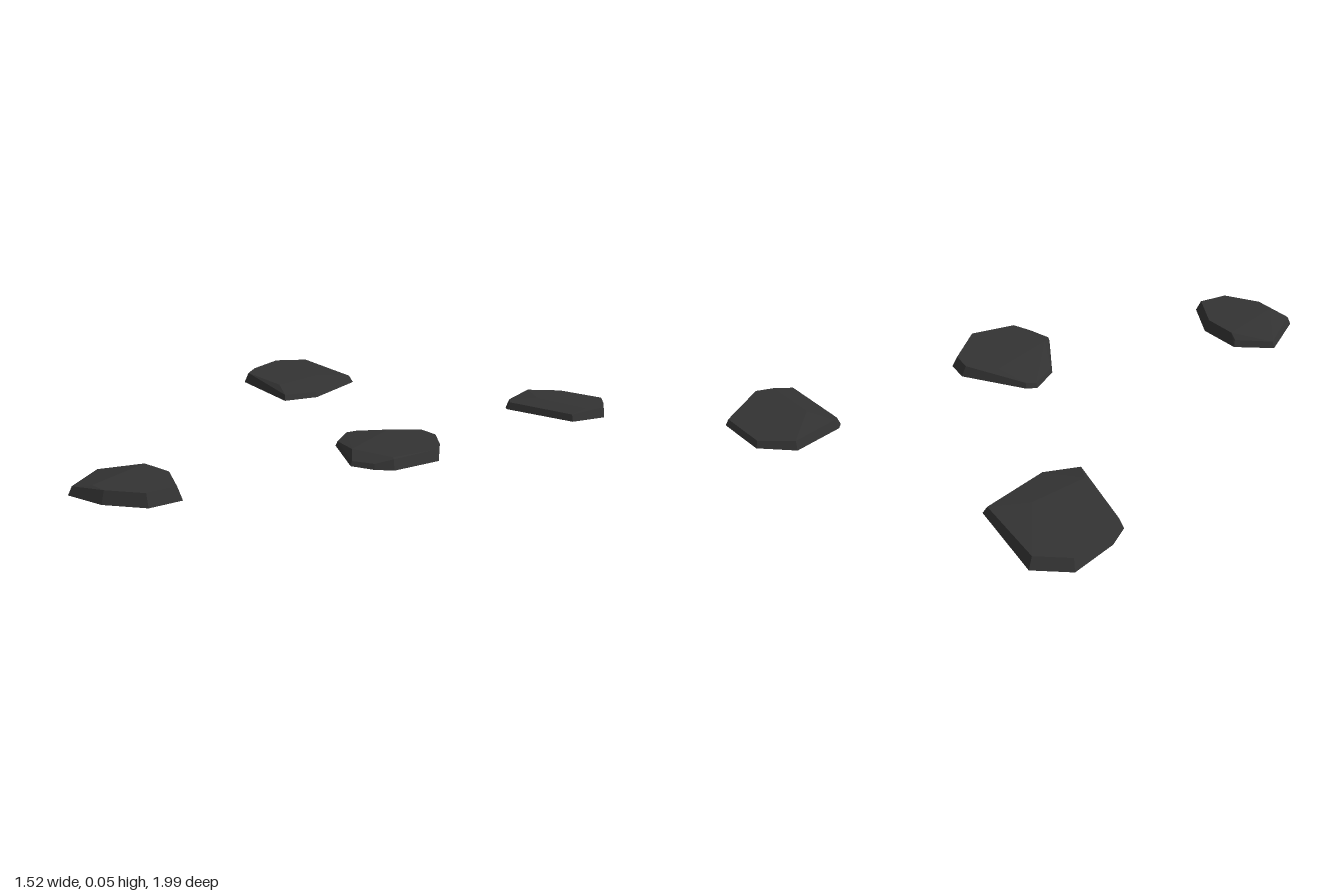
import * as THREE from 'three';
import { ConvexGeometry } from 'three/addons/geometries/ConvexGeometry.js';

// Each stone: outline of [x, z, rim height], and optional crest points [x, y, z]
const STONES = [
  {
    name: 'backRightStone',
    outline: [[-0.763, -0.725, 0.04], [-0.652, -0.815, 0.04], [-0.346, -0.714, 0.028], [-0.346, -0.434, 0.02],
      [-0.425, -0.317, 0.021], [-0.736, -0.46, 0.04], [-0.763, -0.545, 0.04]],
    crest: [[-0.5, 0.041, -0.385], [-0.46, 0.04, -0.6]],
  },
  {
    name: 'backLeftStone',
    outline: [[0.372, -0.91, 0.033], [0.488, -1, 0.026], [0.683, -0.99, 0.026], [0.757, -0.81, 0.036],
      [0.678, -0.688, 0.026], [0.388, -0.704, 0.028], [0.372, -0.725, 0.034]],
    crest: [[0.485, 0.046, -0.775], [0.7, 0.041, -0.76]],
  },
  {
    name: 'middleStone',
    outline: [[0.034, -0.053, 0.017], [0.06, -0.085, 0.02], [0.298, -0.19, 0.039], [0.377, -0.164, 0.039],
      [0.467, 0.01, 0.039], [0.388, 0.185, 0.036], [0.325, 0.217, 0.019], [0.235, 0.228, 0.017], [0.066, 0.063, 0.018]],
    crest: [[0.2, 0.04, 0.165], [0.37, 0.04, 0.165], [0.19, 0.04, -0.1]],
  },
  {
    name: 'frontStone',
    outline: [[-0.45, 0.783, 0.024], [-0.33, 0.683, 0.026], [-0.17, 0.704, 0.046], [-0.04, 0.815, 0.046],
      [-0.087, 0.931, 0.046], [-0.235, 0.99, 0.046], [-0.388, 0.984, 0.031]],
    crest: [[-0.3, 0.046, 0.7], [-0.3, 0.046, 0.96]],
  },
];

// Flat faceted slab: ground outline, slightly smaller rim above it, and crest points
function stoneGeometry({ outline, crest }) {
  const cx = outline.reduce((s, p) => s + p[0], 0) / outline.length;
  const cz = outline.reduce((s, p) => s + p[1], 0) / outline.length;
  const points = crest.map((p) => new THREE.Vector3(...p));
  for (const [x, z, h] of outline) {
    const k = 1 - 2.2 * h; // the sides lean inwards with height
    points.push(new THREE.Vector3(x, 0, z));
    points.push(new THREE.Vector3(cx + (x - cx) * k, h, cz + (z - cz) * k));
  }
  return new ConvexGeometry(points);
}

export function createModel() {
  const group = new THREE.Group();
  group.name = 'steppingStones';
  const darkStone = new THREE.MeshStandardMaterial({ color: 0x333333 });
  darkStone.name = 'darkStone';
  for (const stone of STONES) {
    const mesh = new THREE.Mesh(stoneGeometry(stone), darkStone);
    mesh.name = stone.name;
    group.add(mesh);
  }
  return group;
}
